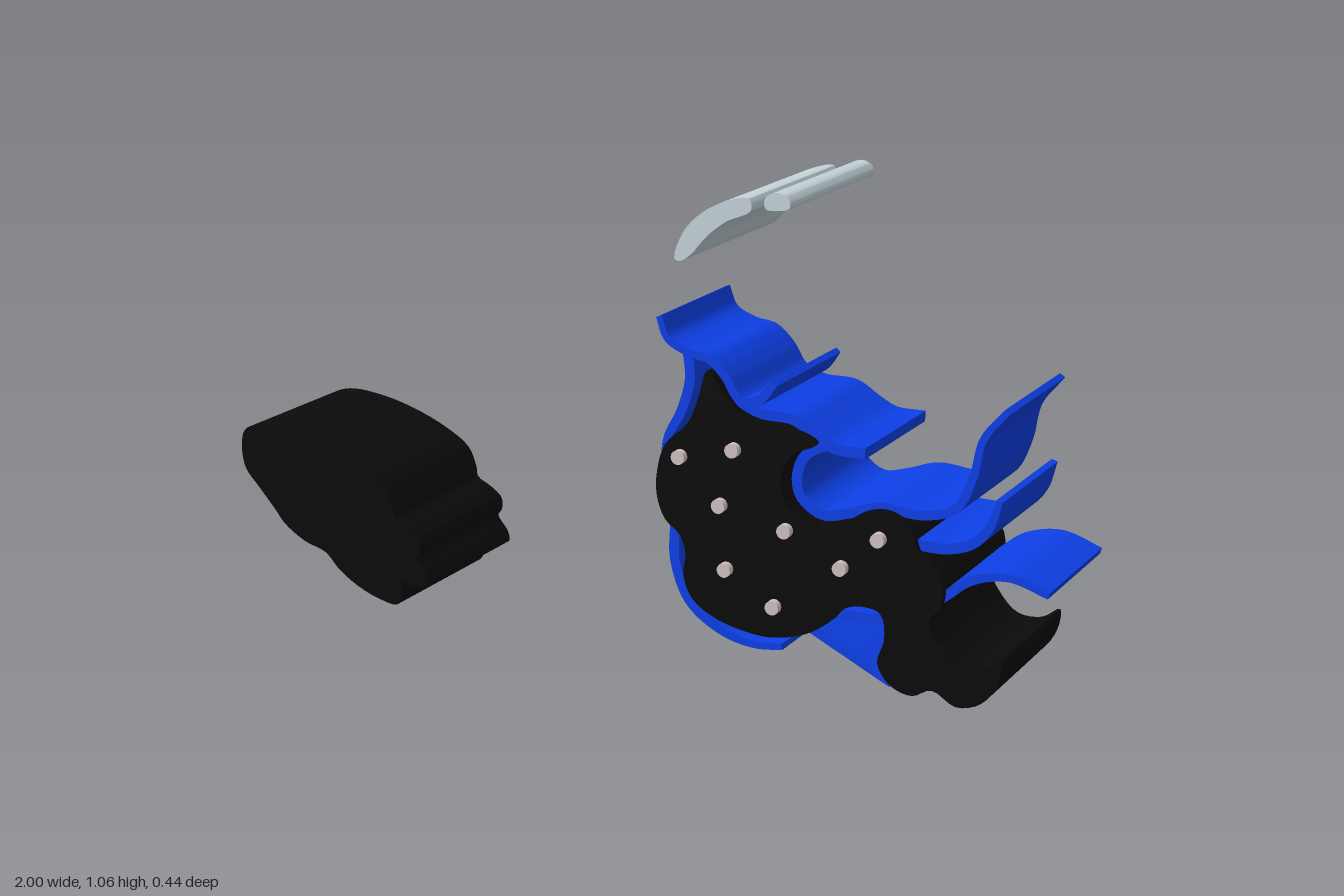
import * as THREE from 'three';
import { toCreasedNormals } from 'three/addons/utils/BufferGeometryUtils.js';

const black = new THREE.MeshStandardMaterial({ color: 0x0a0a0a });
const blue = new THREE.MeshStandardMaterial({ color: 0x0d3fe6 });
const silver = new THREE.MeshStandardMaterial({ color: 0xc4d3d9 });
const pin = new THREE.MeshStandardMaterial({ color: 0xd0c0c0 });

const spline = (pts, closed) => new THREE.CatmullRomCurve3(
  pts.map(([x, y]) => new THREE.Vector3(x, y, 0)), closed, 'centripetal');

// Extrude a 2D outline symmetrically about z = 0
function slab(name, outline, half, material) {
  const shape = new THREE.Shape(outline.map((p) => new THREE.Vector2(p.x, p.y)));
  const g = new THREE.ExtrudeGeometry(shape, { depth: half * 2, bevelEnabled: false });
  g.translate(0, 0, -half);
  const mesh = new THREE.Mesh(toCreasedNormals(g, 0.6), material);
  mesh.name = name;
  return mesh;
}

// Closed smooth outline
const blob = (name, pts, half, material) =>
  slab(name, spline(pts, true).getPoints(pts.length * 4), half, material);

// Curved sheet following a path, narrowing towards its far end
function ribbon(name, pts, w0 = 0.012, w1 = 0.007) {
  const curve = spline(pts, false);
  const n = pts.length * 6, left = [], right = [];
  for (let i = 0; i <= n; i++) {
    const t = i / n, p = curve.getPointAt(t), d = curve.getTangentAt(t);
    const w = w0 + (w1 - w0) * t * t;
    left.push({ x: p.x - d.y * w, y: p.y + d.x * w });
    right.unshift({ x: p.x + d.y * w, y: p.y - d.x * w });
  }
  return slab(name, [...left, ...right], 0.167, blue);
}

export function createModel() {
  const model = new THREE.Group();
  model.name = 'model';

  // Separate rounded block on the right side
  model.add(blob('looseBlock', [
    [-1, 0.32], [-0.99, 0.37], [-0.94, 0.39], [-0.86, 0.387], [-0.76, 0.365], [-0.66, 0.325],
    [-0.6, 0.285], [-0.58, 0.24], [-0.575, 0.215], [-0.54, 0.195], [-0.51, 0.17], [-0.51, 0.14],
    [-0.52, 0.125], [-0.495, 0.09], [-0.49, 0.065], [-0.515, 0.055], [-0.56, 0.06], [-0.56, 0.03],
    [-0.575, 0.003], [-0.62, 0.008], [-0.68, 0.03], [-0.735, 0.065], [-0.77, 0.1], [-0.83, 0.12],
    [-0.885, 0.155], [-0.91, 0.185], [-0.955, 0.235], [-0.99, 0.275],
  ], 0.185, black));

  // Main body with hooked tail
  model.add(blob('body', [
    [0.225, 0.66], [0.26, 0.62], [0.31, 0.57], [0.38, 0.555], [0.445, 0.55], [0.48, 0.53],
    [0.425, 0.5], [0.4, 0.445], [0.415, 0.39], [0.46, 0.355], [0.515, 0.355], [0.55, 0.37],
    [0.6, 0.4], [0.65, 0.405], [0.7, 0.375], [0.715, 0.33], [0.74, 0.315], [0.77, 0.275],
    [0.77, 0.22], [0.745, 0.18], [0.77, 0.13], [0.81, 0.095], [0.865, 0.095], [0.905, 0.12],
    [0.9, 0.07], [0.865, 0.02], [0.81, 0.003], [0.755, 0.03], [0.71, 0.01], [0.66, 0.025],
    [0.63, 0.07], [0.645, 0.125], [0.635, 0.18], [0.595, 0.19], [0.555, 0.18], [0.515, 0.14],
    [0.46, 0.105], [0.38, 0.085], [0.31, 0.09], [0.24, 0.11], [0.19, 0.145], [0.17, 0.195],
    [0.175, 0.245], [0.16, 0.285], [0.125, 0.315], [0.105, 0.365], [0.105, 0.42], [0.125, 0.485],
    [0.18, 0.54], [0.205, 0.6],
  ], 0.185, black));

  // Blue curved sheets around the body
  const sheets = {
    crownSheet: [[0.585, 0.52], [0.515, 0.522], [0.47, 0.543], [0.42, 0.572], [0.34, 0.577],
      [0.29, 0.6], [0.26, 0.645], [0.22, 0.68], [0.17, 0.69], [0.12, 0.715], [0.1, 0.762]],
    crownBranch: [[0.3, 0.59], [0.34, 0.605], [0.375, 0.645]],
    sideSheet: [[0.17, 0.69], [0.175, 0.63], [0.155, 0.56], [0.12, 0.49], [0.112, 0.42]],
    hookSheet: [[0.5, 0.53], [0.45, 0.5], [0.43, 0.45], [0.44, 0.405], [0.49, 0.373], [0.55, 0.385],
      [0.62, 0.408], [0.72, 0.405], [0.79, 0.43], [0.825, 0.5], [0.845, 0.585], [0.895, 0.65]],
    middleSheet: [[0.7, 0.34], [0.77, 0.34], [0.83, 0.36], [0.865, 0.4], [0.885, 0.46]],
    tailSheet: [[0.53, 0.16], [0.62, 0.16], [0.7, 0.185], [0.77, 0.235], [0.83, 0.28],
      [0.91, 0.298], [0.997, 0.273]],
    lowerSheet: [[0.46, 0.12], [0.56, 0.07], [0.655, 0.02]],
    bellySheet: [[0.14, 0.3], [0.14, 0.22], [0.175, 0.13], [0.25, 0.075], [0.33, 0.055], [0.4, 0.06]],
  };
  for (const [name, pts] of Object.entries(sheets)) model.add(ribbon(name, pts));

  // Pins passing through the body
  const pins = new THREE.Group();
  pins.name = 'pins';
  const pinGeo = new THREE.CylinderGeometry(0.016, 0.016, 0.404, 20).rotateX(Math.PI / 2);
  for (const [x, y] of [[0.163, 0.463], [0.291, 0.495], [0.26, 0.367], [0.275, 0.225],
    [0.39, 0.158], [0.415, 0.333], [0.545, 0.27], [0.63, 0.346]]) {
    const m = new THREE.Mesh(pinGeo, pin);
    m.name = 'pin';
    m.position.set(x, y, 0);
    pins.add(m);
  }
  model.add(pins);

  // Floating curved panel and small bar
  model.add(blob('curvedPanel', [
    [0.163, 0.905], [0.185, 0.965], [0.23, 1.01], [0.285, 1.038], [0.335, 1.047], [0.34, 1.022],
    [0.285, 0.995], [0.24, 0.96], [0.2, 0.915], [0.175, 0.9],
  ], 0.218, silver));
  model.add(blob('smallBar', [
    [0.37, 1.04], [0.375, 1.055], [0.4, 1.065], [0.425, 1.055], [0.428, 1.035], [0.4, 1.027], [0.375, 1.028],
  ], 0.218, silver));

  return model;
}
